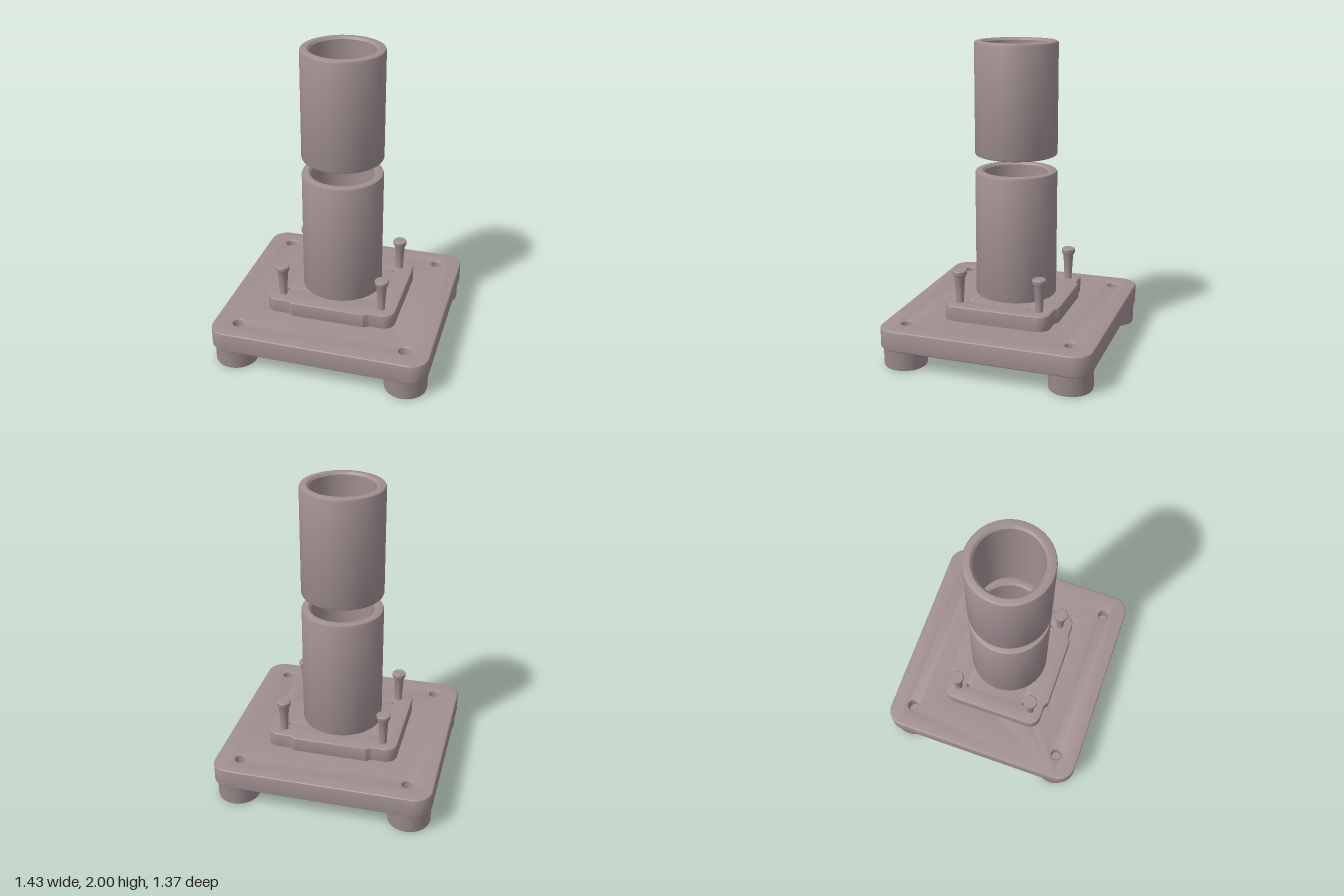
import * as THREE from 'three';
import { toCreasedNormals } from 'three/addons/utils/BufferGeometryUtils.js';

const CREASE = 0.5;
const corners = [[1, 1], [-1, 1], [-1, -1], [1, -1]];

export function createModel() {
  const model = new THREE.Group();
  const metal = new THREE.MeshStandardMaterial({ color: 0xa08f91 });
  metal.name = 'mauve grey';

  function add(name, geometry, x = 0, y = 0, z = 0) {
    const mesh = new THREE.Mesh(toCreasedNormals(geometry, CREASE), metal);
    mesh.name = name;
    mesh.position.set(x, y, z);
    model.add(mesh);
    return mesh;
  }

  // Turned part from [radius, height] pairs, outside running upwards
  const turned = (pairs, sides) =>
    new THREE.LatheGeometry(pairs.map(([r, y]) => new THREE.Vector2(r, y)), sides);

  // Horizontal slab with softened edges, standing on y = 0
  function slab(shape, height, bevel) {
    const g = new THREE.ExtrudeGeometry(shape, {
      depth: height - 2 * bevel, bevelEnabled: true, bevelThickness: bevel,
      bevelSize: bevel, bevelOffset: -bevel, bevelSegments: 3, curveSegments: 8,
    });
    g.translate(0, 0, bevel);
    g.rotateX(-Math.PI / 2);
    return g;
  }

  function drill(shape, x, y, r) {
    for (const [sx, sy] of corners) {
      const hole = new THREE.Path();
      hole.absarc(sx * x, sy * y, r, 0, Math.PI * 2, true);
      shape.holes.push(hole);
    }
  }

  // Base plate with rounded corners, foot holes and pin holes
  const w = 0.715, d = 0.685, r = 0.115;
  const plate = new THREE.Shape();
  plate.absarc(w - r, d - r, r, 0, Math.PI / 2);
  plate.absarc(-w + r, d - r, r, Math.PI / 2, Math.PI);
  plate.absarc(-w + r, -d + r, r, Math.PI, Math.PI * 1.5);
  plate.absarc(w - r, -d + r, r, Math.PI * 1.5, Math.PI * 2);
  plate.closePath();
  drill(plate, 0.55, 0.535, 0.036);
  drill(plate, 0.308, 0.205, 0.009);
  add('basePlate', slab(plate, 0.135, 0.012), 0, 0.13, -0.003);

  // Flange: rounded rectangle whose long sides step outwards in the middle
  const fw = 0.43, fd = 0.347, fr = 0.075, step = 0.368;
  const flange = new THREE.Shape();
  flange.absarc(fw - fr, fd - fr, fr, 0, Math.PI / 2);
  flange.lineTo(0.27, fd);
  flange.lineTo(0.24, step);
  flange.lineTo(-0.24, step);
  flange.lineTo(-0.27, fd);
  flange.absarc(-fw + fr, fd - fr, fr, Math.PI / 2, Math.PI);
  flange.absarc(-fw + fr, -fd + fr, fr, Math.PI, Math.PI * 1.5);
  flange.lineTo(-0.27, -fd);
  flange.lineTo(-0.24, -step);
  flange.lineTo(0.24, -step);
  flange.lineTo(0.27, -fd);
  flange.absarc(fw - fr, -fd + fr, fr, Math.PI * 1.5, Math.PI * 2);
  flange.closePath();
  drill(flange, 0.308, 0.205, 0.009);
  add('flange', slab(flange, 0.105, 0.01), 0, 0.258, -0.003);

  // Hollow tubes with softened rims
  function tube(name, bottom, top) {
    const ro = 0.264, ri = 0.205, b = 0.014;
    add(name, turned([
      [ri + b, bottom], [ro - b, bottom], [ro - b * 0.3, bottom + b * 0.3], [ro, bottom + b],
      [ro, top - b], [ro - b * 0.3, top - b * 0.3], [ro - b, top],
      [ri + b, top], [ri, top - b], [ri, bottom + b], [ri + b, bottom],
    ], 40), 0, 0, -0.007);
  }
  tube('lowerTube', 0.345, 1.18);
  tube('upperTube', 1.28, 2);

  for (const [sx, sz] of corners) {
    // Round foot with a fastener recess underneath
    add('foot', turned([
      [0, 0.03], [0.022, 0.03], [0.03, 0.02], [0.048, 0.02], [0.062, 0],
      [0.126, 0], [0.135, 0.004], [0.138, 0.015],
      [0.138, 0.118], [0.143, 0.135], [0.13, 0.16], [0, 0.16],
    ], 28), sx * 0.567, 0, sz * 0.542 - 0.003);

    // Tapered pin with a flat head
    add('pin', turned([
      [0, 0.35], [0.027, 0.35], [0.025, 0.38], [0.033, 0.525],
      [0.045, 0.55], [0.045, 0.57], [0.04, 0.576], [0, 0.576],
    ], 20), sx * 0.333, 0, sz * 0.265 - 0.005);
  }
  return model;
}
